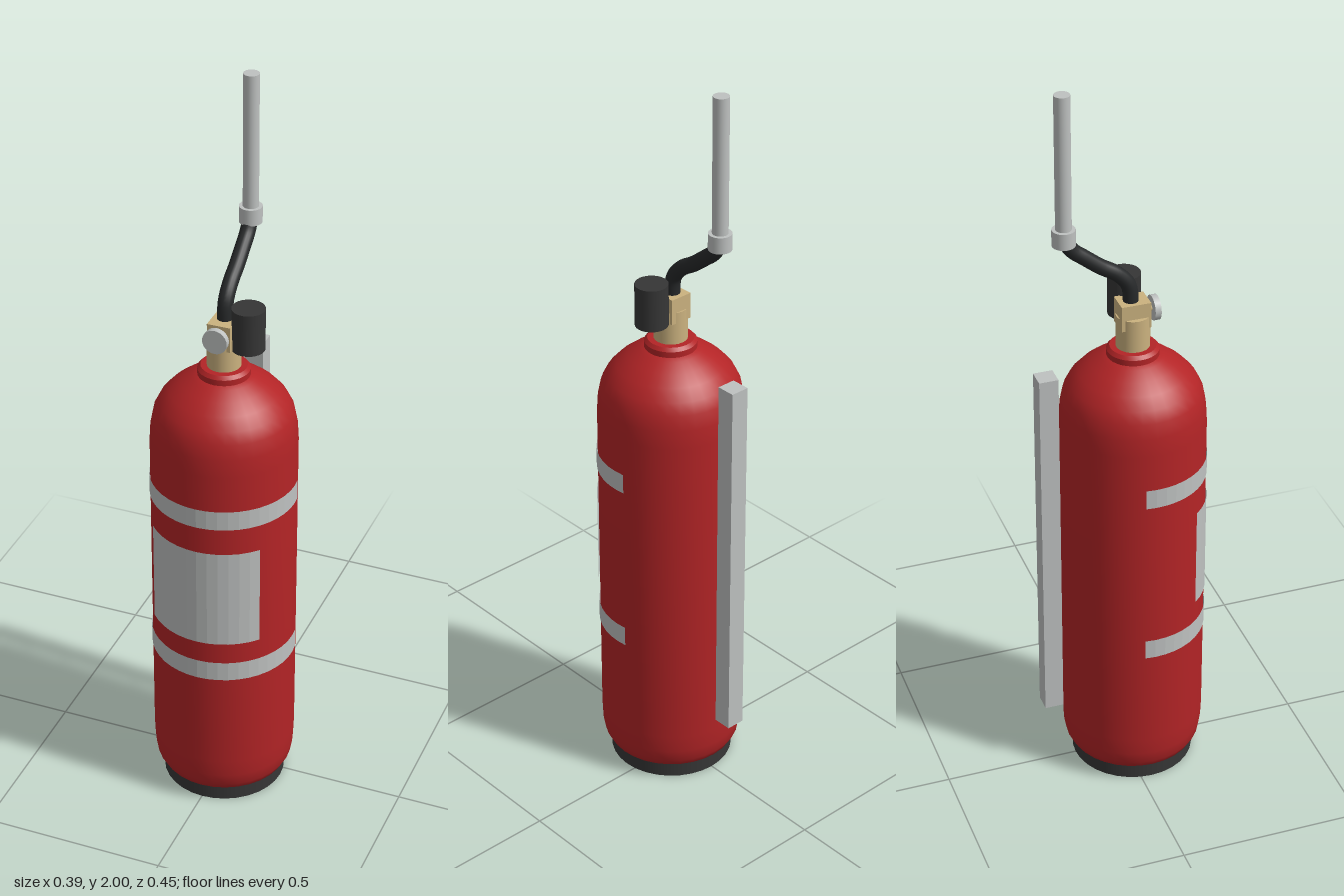
import * as THREE from 'three';
import { toCreasedNormals } from 'three/addons/utils/BufferGeometryUtils.js';

const AXIS_Z = 0.03; // centre line of the tank

function makeMaterial(name, color, side = THREE.FrontSide) {
  const m = new THREE.MeshStandardMaterial({ color, side });
  m.name = name;
  return m;
}

export function createModel() {
  const model = new THREE.Group();
  model.name = 'fireExtinguisher';

  const red = makeMaterial('red paint', 0xb32426);
  const black = makeMaterial('black plastic', 0x363636);
  const rubber = makeMaterial('dark rubber', 0x27292a);
  const brass = makeMaterial('brass', 0xcbb27f);
  const silver = makeMaterial('silver', 0xbec1c0);
  const wrap = makeMaterial('grey wrap', 0xbec1c0, THREE.DoubleSide);

  const add = (name, geometry, material, x = 0, y = 0, z = AXIS_Z) => {
    const mesh = new THREE.Mesh(geometry, material);
    mesh.name = name;
    mesh.position.set(x, y, z);
    model.add(mesh);
    return mesh;
  };

  // upright cylinder between two heights
  const post = (name, r, y0, y1, material, x, z, sides = 32) =>
    add(name, new THREE.CylinderGeometry(r, r, y1 - y0, sides), material, x, (y0 + y1) / 2, z);

  const lathe = (name, points, material) => {
    const profile = points.map(([r, y]) => new THREE.Vector2(r, y));
    return add(name, toCreasedNormals(new THREE.LatheGeometry(profile, 32), 0.6), material);
  };

  // thin faceted sheet wrapped round the front of the tank
  const wrapSheet = (name, r, y0, y1, halfAngle, sides) => {
    const a = THREE.MathUtils.degToRad(halfAngle);
    const g = new THREE.CylinderGeometry(r, r, y1 - y0, sides, 1, true, -a, 2 * a).toNonIndexed();
    g.computeVertexNormals();
    return add(name, g, wrap, 0, (y0 + y1) / 2);
  };

  // tank body
  post('baseRing', 0.165, 0, 0.04, black, 0, AXIS_Z);
  lathe('tank', [
    [0, 0.035], [0.155, 0.035], [0.172, 0.045], [0.183, 0.065], [0.189, 0.1], [0.191, 0.15],
    [0.191, 1.06], [0.188, 1.11], [0.18, 1.15], [0.165, 1.18], [0.14, 1.208],
    [0.11, 1.232], [0.08, 1.25], [0.06, 1.26], [0, 1.26],
  ], red);
  lathe('neckRing', [[0.068, 1.245], [0.068, 1.272], [0.06, 1.281], [0, 1.281]], red);

  // bands and blank label
  wrapSheet('lowerBand', 0.1935, 0.428, 0.484, 99, 24);
  wrapSheet('upperBand', 0.1935, 0.905, 0.96, 99, 24);
  wrapSheet('label', 0.194, 0.545, 0.83, 50, 12);

  // valve
  post('valveNeck', 0.044, 1.275, 1.37, brass, 0, AXIS_Z, 24);
  add('valveBlock', new THREE.BoxGeometry(0.062, 0.07, 0.078), brass, 0, 1.375, 0.029);
  post('valveKnob', 0.043, 1.34, 1.455, black, 0.065, 0.029, 24);

  // pressure gauge facing forwards
  const gauge = add('gauge', new THREE.CylinderGeometry(0.033, 0.033, 0.016, 24), silver, 0, 1.378, 0.087);
  const stem = add('gaugeStem', new THREE.CylinderGeometry(0.008, 0.008, 0.03, 12), brass, 0, 1.378, 0.07);
  gauge.rotation.x = stem.rotation.x = Math.PI / 2;

  // hose rising backwards to the nozzle
  const path = new THREE.CatmullRomCurve3([
    [1.39, 0.025], [1.455, 0.018], [1.492, -0.012], [1.52, -0.055],
    [1.555, -0.1], [1.578, -0.128], [1.61, -0.149],
  ].map(([y, z]) => new THREE.Vector3(0, y, z)));
  add('hose', new THREE.TubeGeometry(path, 32, 0.02, 16), rubber, 0, 0, 0);
  post('nozzleCollar', 0.03, 1.597, 1.641, silver, 0, -0.15, 24);
  post('nozzle', 0.0205, 1.64, 2, silver, 0, -0.15, 24);

  // mounting rail behind the tank
  add('wallRail', new THREE.BoxGeometry(0.051, 1.035, 0.051), silver, 0, 0.713, -0.202);

  return model;
}
